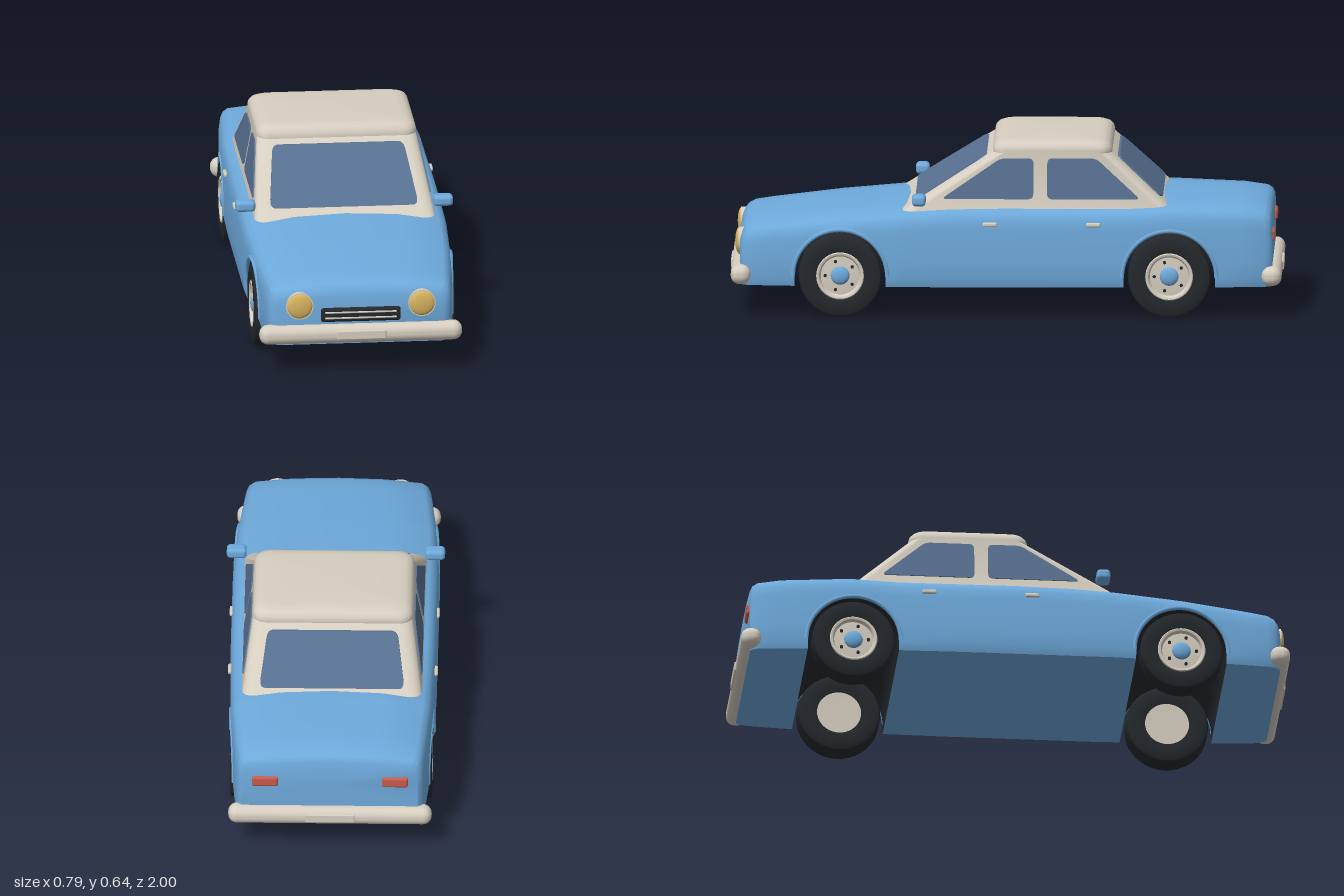
import * as THREE from 'three';
import { toCreasedNormals } from 'three/addons/utils/BufferGeometryUtils.js';
import { RoundedBoxGeometry } from 'three/addons/geometries/RoundedBoxGeometry.js';

const flat = (name, color) => Object.assign(new THREE.MeshStandardMaterial({ color }), { name });
const blue = flat('body blue', 0x6eaadc);
const cream = flat('cream', 0xd6cec0);
const dark = flat('rubber black', 0x24282c);
const glass = flat('window glass', 0x587090);
const gold = flat('lamp gold', 0xd8b560);
const red = flat('tail lamp red', 0xc85a4c);

// Straight-line lookup in a table of [position, value]
function interp(table, p) {
  let i = 1;
  while (i < table.length - 1 && p > table[i][0]) i++;
  const [a, va] = table[i - 1], [b, vb] = table[i];
  return THREE.MathUtils.lerp(va, vb, THREE.MathUtils.clamp((p - a) / (b - a), 0, 1));
}

// Skin over closed rings; keep(i, j) picks the quads to draw
function loft(rings, keep, caps) {
  const n = rings[0].length, pos = rings.flat(2), idx = [];
  for (let i = 0; i < rings.length - 1; i++) {
    for (let j = 0; j < n; j++) {
      if (!keep(i, j)) continue;
      const a = i * n + j, b = i * n + (j + 1) % n;
      idx.push(a, b, a + n, b, b + n, a + n);
    }
  }
  if (caps) {
    [0, rings.length - 1].forEach((i) => {
      const c = pos.length / 3;
      for (let k = 0; k < 3; k++) pos.push(rings[i].reduce((s, p) => s + p[k], 0) / n);
      for (let j = 0; j < n; j++) {
        const a = i * n + j, b = i * n + (j + 1) % n;
        idx.push(...(i ? [c, a, b] : [c, b, a]));
      }
    });
  }
  const g = new THREE.BufferGeometry();
  g.setAttribute('position', new THREE.Float32BufferAttribute(pos, 3));
  g.setIndex(idx);
  return toCreasedNormals(g, 0.6);
}

// Move every vertex by a rule
function warp(g, rule) {
  const p = g.attributes.position, v = new THREE.Vector3();
  for (let i = 0; i < p.count; i++) {
    rule(v.fromBufferAttribute(p, i));
    p.setXYZ(i, v.x, v.y, v.z);
  }
  g.computeVertexNormals();
  return g;
}

// Thin plate with rounded corners
function plate(pts, r, depth) {
  const s = new THREE.Shape(), v = pts.map((p) => new THREE.Vector2(...p));
  v.forEach((c, i) => {
    const toward = (q) => q.clone().sub(c).setLength(r).add(c);
    const a = toward(v[(i + v.length - 1) % v.length]), b = toward(v[(i + 1) % v.length]);
    if (i) s.lineTo(a.x, a.y); else s.moveTo(a.x, a.y);
    s.quadraticCurveTo(c.x, c.y, b.x, b.y);
  });
  s.closePath();
  return new THREE.ExtrudeGeometry(s, { depth, bevelEnabled: false, curveSegments: 6 });
}

// Body outline rules along z
const halfWidth = (z) => interp([[-0.96, 0.335], [-0.85, 0.348], [-0.6, 0.366], [-0.2, 0.373],
  [0.35, 0.373], [0.6, 0.363], [0.8, 0.348], [0.96, 0.333]], z);
const topLine = (z) => interp([[-0.96, 0.398], [-0.85, 0.412], [-0.6, 0.42], [-0.4, 0.41],
  [0.1, 0.412], [0.3, 0.404], [0.6, 0.379], [0.88, 0.348], [0.96, 0.335]], z);
const AXLES = [-0.59, 0.6], AXLE_Y = 0.147, ARCH = 0.165, FLOOR = 0.11;

// Cabin slopes by height
const lean = (y) => (y - 0.59) / 0.19;
const cabinFront = (y) => 0.05 - 0.3 * lean(y);
const cabinBack = (y) => -0.382 + 0.205 * lean(y);
const cabinSide = (y) => 0.29 - 0.035 * lean(y);

export function createModel() {
  const car = new THREE.Group();
  car.name = 'car';
  const add = (name, geo, mat, x = 0, y = 0, z = 0, parent = car) => {
    const m = new THREE.Mesh(geo, mat);
    m.name = name;
    m.position.set(x, y, z);
    parent.add(m);
    return m;
  };

  // Body stations: [z, bottom height, end inset, inside a wheel arch]
  const st = [[-0.962, FLOOR, 0.025], [-0.953, FLOOR, 0.008], [-0.935, FLOOR, 0], [-0.85, FLOOR, 0]];
  AXLES.forEach((zc, k) => {
    st.push([zc - ARCH, FLOOR, 0, true]);
    for (let i = 0; i <= 20; i++) {
      const a = Math.PI * (1 - i / 20);
      st.push([zc + ARCH * Math.cos(a), AXLE_Y + ARCH * Math.sin(a), 0, true]);
    }
    st.push([zc + ARCH, FLOOR, 0]);
    if (!k) [-0.2, 0, 0.2, 0.35].forEach((z) => st.push([z, FLOOR, 0]));
  });
  st.push([0.85, FLOOR, 0], [0.915, FLOOR, 0], [0.94, FLOOR, 0.007], [0.955, FLOOR, 0.022], [0.963, FLOOR, 0.045]);
  const rings = st.map(([z, yb, inset]) => {
    const w = halfWidth(z) - inset * 0.7, top = topLine(z) - inset, e = top - 0.02;
    const half = [[0.975, FLOOR], [1, 0.14], [1, 0.2], [1, e - 0.07], [0.988, e - 0.035],
      [0.96, e - 0.012], [0.91, e], [0.5, top - 0.005]].map(([f, y]) => [f * w, Math.max(y, yb), z]);
    return [...half, [0, top, z], ...half.map(([x, y]) => [-x, y, z]).reverse()];
  });
  const last = rings[0].length - 1;
  add('body', loft(rings, (i, j) => j !== last, true), blue);
  add('floor', loft(rings, (i, j) => j === last && !st[i][3], false), blue);
  add('wheelWells', loft(rings, (i, j) => j === last && st[i][3], false), dark);

  // Cabin and roof: rounded rectangles stacked upward
  const level = (y, zf, zb, hw, r) => {
    const ring = [];
    [[1, zb + r], [-1, zb + r], [-1, zf - r], [1, zf - r]].forEach(([s, cz], k) => {
      for (let i = 0; i <= 6; i++) {
        const a = (k + i / 6) * Math.PI / 2;
        ring.push([s * (hw - r) + r * Math.cos(a), y, cz - r * Math.sin(a)]);
      }
    });
    return ring;
  };
  const slope = [0.37, 0.59].map((y) => level(y, cabinFront(y), cabinBack(y), cabinSide(y), 0.05));
  add('cabin', loft([...slope, level(0.597, 0.05, -0.383, 0.291, 0.05), level(0.612, 0.046, -0.379, 0.288, 0.05),
    level(0.625, 0.036, -0.369, 0.279, 0.05), level(0.633, 0.018, -0.352, 0.263, 0.05),
    level(0.636, -0.01, -0.325, 0.238, 0.045)], () => true, true), cream);

  // Windscreen and rear window
  const screen = plate([[-0.27, 0.418], [0.27, 0.418], [0.238, 0.576], [-0.238, 0.576]], 0.022, 0.009);
  add('windscreen', warp(screen, (v) => { v.z += cabinFront(v.y); }), glass);
  const rear = plate([[-0.262, 0.428], [0.262, 0.428], [0.235, 0.572], [-0.235, 0.572]], 0.022, 0.009);
  add('rearWindow', warp(rear.rotateY(Math.PI), (v) => { v.z += cabinBack(v.y); }), glass);

  // Parts on both sides
  for (const s of [1, -1]) {
    const side = s > 0 ? 'left' : 'right';
    [['FrontWindow', [[0.235, 0.427], [0.02, 0.572], [-0.098, 0.572], [-0.098, 0.427]]],
      ['RearWindow', [[-0.148, 0.427], [-0.148, 0.572], [-0.325, 0.572], [-0.485, 0.427]]]].forEach(([n, pts]) => {
      const g = plate(pts.map(([z, y]) => [-s * z, y]), 0.02, 0.005).rotateY(s * Math.PI / 2);
      add(side + n, warp(g, (v) => { v.x += s * cabinSide(v.y); }), glass);
    });
    add(side + 'Mirror', new RoundedBoxGeometry(0.072, 0.04, 0.05, 3, 0.014), blue, s * 0.359, 0.429, 0.315);
    for (const z of [0.058, -0.316]) {
      add(side + 'DoorHandle', new RoundedBoxGeometry(0.014, 0.016, 0.052, 3, 0.006), cream, s * 0.373, 0.341, z);
    }

    // Headlamp with rim, and tail lamp
    const rim = new THREE.CylinderGeometry(0.05, 0.05, 0.025, 32).rotateX(Math.PI / 2);
    add(side + 'HeadlampRim', rim, cream, s * 0.222, 0.257, 0.957);
    const dome = new THREE.SphereGeometry(0.046, 32, 12, 0, Math.PI * 2, 0, Math.PI / 2).rotateX(Math.PI / 2);
    add(side + 'Headlamp', dome.scale(1, 1, 0.28), gold, s * 0.222, 0.257, 0.969);
    add(side + 'TailLamp', new RoundedBoxGeometry(0.095, 0.04, 0.02, 3, 0.009), red, s * 0.235, 0.29, -0.962);

    // Wheels and arch lips
    AXLES.forEach((z, k) => {
      const lip = new THREE.TorusGeometry(ARCH + 0.006, 0.008, 8, 28, Math.PI).rotateY(Math.PI / 2);
      lip.translate(0, AXLE_Y, z);
      add(side + 'ArchLip', warp(lip, (v) => { v.x += s * (halfWidth(v.z) - 0.003); }), blue);
      const wheel = new THREE.Group();
      wheel.name = side + (k ? 'FrontWheel' : 'RearWheel');
      wheel.position.set(s * 0.318, 0.15, z);
      wheel.rotation.z = -s * Math.PI / 2;
      car.add(wheel);
      const lathe = (pts) => toCreasedNormals(
        new THREE.LatheGeometry(pts.map((p) => new THREE.Vector2(...p)), 40), 0.6);
      add('tyre', lathe([[0.08, -0.043], [0.1, -0.047], [0.135, -0.047], [0.146, -0.042], [0.15, -0.032],
        [0.15, 0.032], [0.146, 0.042], [0.135, 0.047], [0.1, 0.047], [0.084, 0.043]]), dark, 0, 0, 0, wheel);
      add('rim', lathe([[0, -0.04], [0.086, -0.042], [0.088, 0.042], [0.083, 0.047], [0.076, 0.045],
        [0.07, 0.032], [0.04, 0.034], [0, 0.034]]), cream, 0, 0, 0, wheel);
      add('hubCap', new THREE.SphereGeometry(0.034, 24, 12).scale(1, 0.45, 1), blue, 0, 0.034, 0, wheel);
      for (let i = 0; i < 5; i++) {
        const a = i * Math.PI * 0.4;
        add('wheelNut', new THREE.CylinderGeometry(0.006, 0.006, 0.01, 8), dark,
          0.054 * Math.sin(a), 0.034, 0.054 * Math.cos(a), wheel);
      }
    });
  }

  // Bumpers with blank plates
  for (const s of [1, -1]) {
    const end = s > 0 ? 'front' : 'rear';
    add(end + 'Bumper', new RoundedBoxGeometry(0.736, 0.07, 0.072, 5, 0.032), cream, 0, 0.15, s * 0.96);
    add(end + 'Plate', new RoundedBoxGeometry(0.18, 0.035, 0.012, 3, 0.005), cream, 0, 0.151, s * 0.994);
  }

  // Grille
  add('grille', new RoundedBoxGeometry(0.29, 0.053, 0.024, 4, 0.011), dark, 0, 0.22, 0.962);
  for (const y of [0.21, 0.231]) {
    add('grilleBar', new RoundedBoxGeometry(0.26, 0.006, 0.008, 2, 0.002), cream, 0, y, 0.974);
  }
  return car;
}
